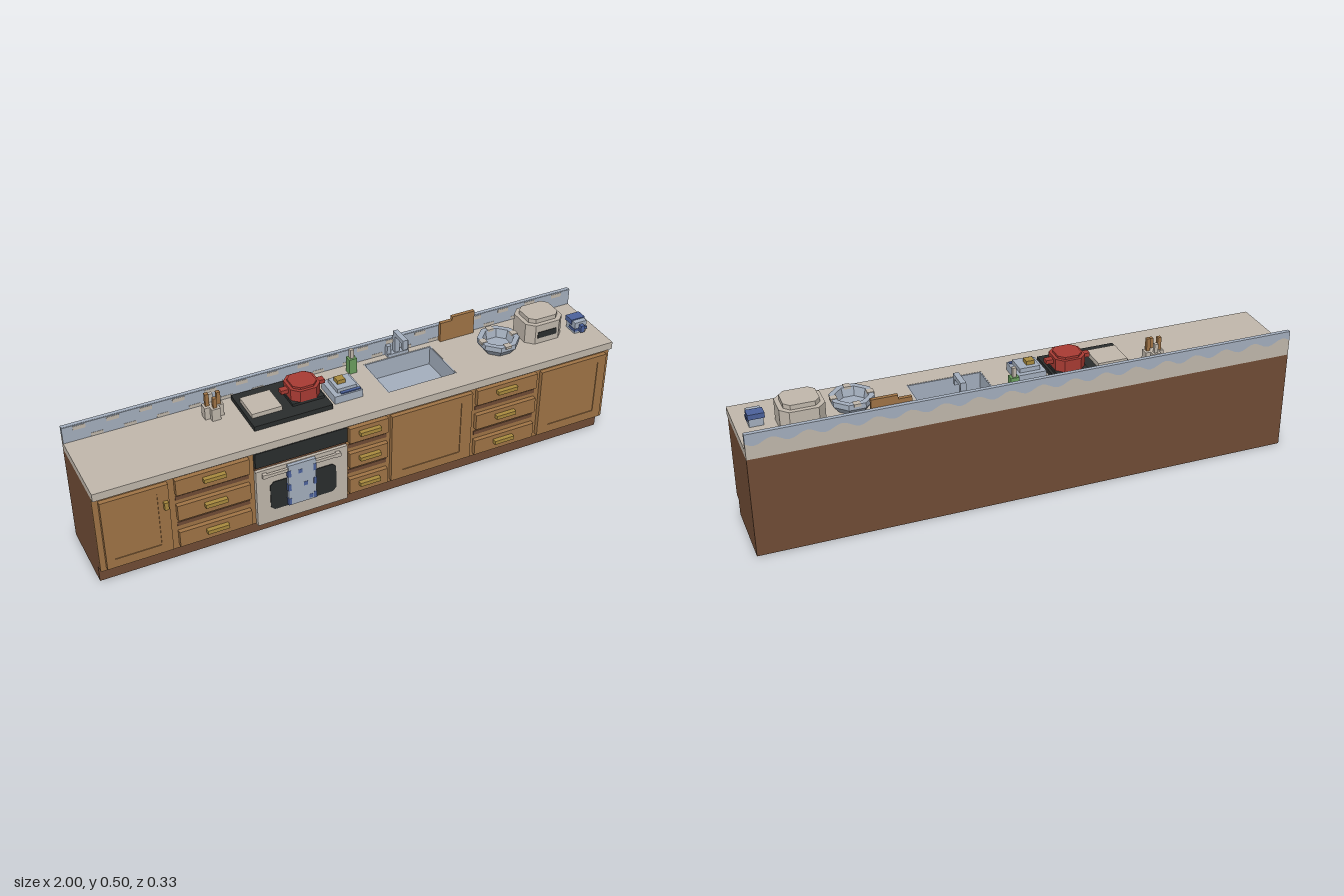
import * as THREE from 'three';

const mat = (name, color) => Object.assign(new THREE.MeshStandardMaterial({ color }), { name });

export function createModel() {
  const root = new THREE.Group();
  root.name = 'kitchenCounter';
  const wood = mat('wood', 0xa07446), brown = mat('dark wood', 0x704c35), cream = mat('cream', 0xc1b8ac),
    blue = mat('pale blue', 0xa4afbe), navy = mat('deep blue', 0x4c629c), black = mat('black', 0x2a2d2d),
    gold = mat('brass', 0xa98a3e), red = mat('red enamel', 0xa83b33), green = mat('green', 0x6b9f5e);

  const add = (name, geo, m, parent = root) => {
    const mesh = new THREE.Mesh(geo, m);
    mesh.name = name;
    parent.add(mesh);
    return mesh;
  };
  // box given by its min and max on each axis
  const box = (name, m, x0, x1, y0, y1, z0, z1) => {
    const g = new THREE.BoxGeometry(x1 - x0, y1 - y0, z1 - z0);
    g.translate((x0 + x1) / 2, (y0 + y1) / 2, (z0 + z1) / 2);
    return add(name, g, m);
  };
  const poly = pts => new THREE.Shape(pts.map(p => new THREE.Vector2(...p)));
  const rect = (a, b, c, d) => poly([[a, c], [b, c], [b, d], [a, d]]);
  const upright = (name, m, shape, z0, z1) => {
    const g = new THREE.ExtrudeGeometry(shape, { depth: z1 - z0, bevelEnabled: false });
    return add(name, g.translate(0, 0, z0), m);
  };
  // plan shape in (x, -z), raised from y0 to y1
  const slab = (name, m, shape, y0, y1) => {
    const g = new THREE.ExtrudeGeometry(shape, { depth: y1 - y0, bevelEnabled: false });
    return add(name, g.rotateX(-Math.PI / 2).translate(0, y0, 0), m);
  };
  // square with cut corners
  const chamfered = (x, z, rx, rz, c) => poly([
    [x - rx + c, -z - rz], [x + rx - c, -z - rz], [x + rx, -z - rz + c], [x + rx, -z + rz - c],
    [x + rx - c, -z + rz], [x - rx + c, -z + rz], [x - rx, -z + rz - c], [x - rx, -z - rz + c]]);

  // cabinet body and worktop, both open above the sink
  const sinkHole = () => rect(0.11, 0.385, -0.07, 0.125);
  const body = rect(-1, 1, -0.125, 0.165), top = rect(-1, 1, -0.15, 0.165);
  body.holes.push(sinkHole());
  top.holes.push(sinkHole());
  box('plinth', brown, -1, 1, 0, 0.065, -0.165, 0.103);
  slab('cabinetBody', brown, body, 0.065, 0.38);
  slab('worktop', cream, top, 0.38, 0.41);
  box('faceFrame', wood, -1, 1, 0.065, 0.38, 0.125, 0.133);

  // sink basin
  box('sinkFloor', blue, 0.11, 0.385, 0.325, 0.335, -0.125, 0.07);
  box('sinkWallLeft', blue, 0.11, 0.114, 0.335, 0.409, -0.125, 0.07);
  box('sinkWallRight', blue, 0.381, 0.385, 0.335, 0.409, -0.125, 0.07);
  box('sinkWallBack', blue, 0.114, 0.381, 0.335, 0.409, -0.125, -0.121);
  box('sinkWallFront', blue, 0.114, 0.381, 0.335, 0.409, 0.066, 0.07);

  // backsplash with a wavy border
  const wave = [];
  for (let i = 0; i <= 136; i++) {
    const x = -1 + i / 68;
    wave.push([x, 0.44 + 0.011 * Math.sin(i * Math.PI / 4)]);
  }
  upright('backsplashLower', cream, poly([[-1, 0.41], [1, 0.41], ...[...wave].reverse()]), -0.165, -0.15);
  upright('backsplashUpper', blue, poly([...wave, [1, 0.475], [-1, 0.475]]), -0.165, -0.15);
  // pale blue front tiles with cream scallops
  box('tileFace', blue, -1, 1, 0.411, 0.474, -0.15, -0.148);
  for (let i = 0; i < 17; i++) {
    const x = -0.94 + i * 0.1175;
    box('scallopUpper', cream, x - 0.022, x + 0.022, 0.455, 0.47, -0.148, -0.147);
    if (i < 16) box('scallopLower', cream, x + 0.037, x + 0.081, 0.413, 0.425, -0.148, -0.147);
  }

  // framed doors: outer span, panel span
  for (const [a, b, c, d] of [[-0.98, -0.745, -0.95, -0.785], [0.085, 0.41, 0.13, 0.365], [0.7, 0.98, 0.745, 0.945]]) {
    const frame = rect(a, b, 0.08, 0.363);
    frame.holes.push(rect(c, d, 0.115, 0.335));
    upright('doorFrame', wood, frame, 0.133, 0.15);
    box('doorPanel', wood, c, d, 0.115, 0.335, 0.133, 0.147);
  }
  box('doorPull', gold, -0.767, -0.752, 0.268, 0.298, 0.15, 0.164);

  // drawer stacks
  for (const [a, b, h] of [[-0.72, -0.455, -0.585], [-0.08, 0.07, -0.005], [0.43, 0.68, 0.548]]) {
    [0.335, 0.227, 0.113].forEach(y => {
      box('drawerFront', wood, a, b, y - 0.033, y + 0.03, 0.133, 0.15);
      box('drawerPull', gold, h - 0.04, h + 0.04, y - 0.002, y + 0.013, 0.15, 0.167);
    });
    [0.281, 0.17].forEach(y => box('drawerGap', brown, a, b, y - 0.008, y + 0.008, 0.133, 0.136));
  }

  // oven with window, rail and towel
  box('ovenFront', cream, -0.435, -0.09, 0.065, 0.3, 0.133, 0.15);
  box('ovenGap', brown, -0.435, -0.09, 0.3, 0.316, 0.133, 0.138);
  box('ovenControls', black, -0.435, -0.09, 0.316, 0.377, 0.133, 0.15);
  const windowShape = chamfered(-0.26, -0.18, 0.125, 0.06, 0.014);
  upright('ovenWindow', black, windowShape, 0.15, 0.153);
  box('ovenRail', cream, -0.415, -0.12, 0.275, 0.287, 0.154, 0.164);
  [-0.405, -0.13].forEach(x => box('railBracket', cream, x - 0.008, x + 0.008, 0.273, 0.289, 0.15, 0.164));
  box('towel', blue, -0.322, -0.218, 0.128, 0.3, 0.153, 0.166);
  [0.265, 0.205, 0.143].forEach((y, i) => {
    [-0.318, -0.222].forEach(x => box('towelStripe', navy, x - 0.006, x + 0.006, y - 0.014, y + 0.014, 0.152, 0.167));
    box('towelSpot', navy, -0.285 + i * 0.02, -0.27 + i * 0.02, y - 0.008, y + 0.008, 0.166, 0.167);
  });

  // hob with griddle and pot
  box('hob', black, -0.4, -0.105, 0.41, 0.428, -0.137, 0.07);
  box('griddle', cream, -0.387, -0.275, 0.428, 0.445, -0.087, 0.022);
  box('potStand', black, -0.235, -0.115, 0.428, 0.438, -0.09, 0.02);
  slab('pot', red, chamfered(-0.175, -0.035, 0.056, 0.056, 0.025), 0.438, 0.482);
  slab('potLid', red, chamfered(-0.175, -0.035, 0.045, 0.045, 0.02), 0.482, 0.49);
  box('potHandles', red, -0.258, -0.092, 0.457, 0.472, -0.047, -0.023);

  // butter dish
  box('dish', blue, -0.088, 0.02, 0.41, 0.44, -0.06, 0.05);
  box('dishCover', blue, -0.07, 0.005, 0.44, 0.456, -0.042, 0.032);
  box('dishKnob', gold, -0.057, -0.026, 0.456, 0.471, -0.025, 0.005);
  box('dishTrim', navy, -0.06, 0.015, 0.44, 0.444, 0.032, 0.044);

  // utensil crock
  for (const [rx, rz] of [[0.035, 0.016], [0.016, 0.035]])
    box('crock', cream, -0.49 - rx, -0.49 + rx, 0.41, 0.457, -0.08 - rz, -0.08 + rz);
  [[-0.51, -0.082, wood, 0.505], [-0.49, -0.1, cream, 0.49], [-0.47, -0.077, wood, 0.505], [-0.49, -0.06, wood, 0.495]]
    .forEach(([x, z, m, y]) => box('utensil', m, x - 0.007, x + 0.007, 0.457, y, z - 0.007, z + 0.007));

  // soap bottle
  box('soapBottle', green, 0.037, 0.068, 0.41, 0.47, -0.12, -0.092);
  box('soapPump', cream, 0.045, 0.059, 0.47, 0.505, -0.114, -0.1);

  // tap
  box('tapBase', blue, 0.21, 0.295, 0.41, 0.422, -0.148, -0.125);
  box('tapRiser', blue, 0.24, 0.26, 0.422, 0.505, -0.148, -0.13);
  box('tapSpout', blue, 0.24, 0.26, 0.489, 0.505, -0.13, -0.07);
  box('tapOutlet', blue, 0.24, 0.26, 0.465, 0.489, -0.085, -0.07);
  [0.217, 0.288].forEach(x => box('tapHandle', blue, x - 0.008, x + 0.008, 0.422, 0.455, -0.146, -0.13));

  // chopping board against the wall
  upright('choppingBoard', wood, poly([[0.43, 0.41], [0.572, 0.41], [0.572, 0.505], [0.478, 0.505], [0.478, 0.49], [0.43, 0.49]]),
    -0.147, -0.133);

  // faceted fruit bowl
  const bowl = [[0, 0], [0.055, 0], [0.078, 0.028], [0.078, 0.048], [0.058, 0.048], [0.05, 0.015], [0, 0.015]]
    .map(p => new THREE.Vector2(...p));
  const bowlGeo = new THREE.LatheGeometry(bowl, 8, Math.PI / 8).toNonIndexed();
  bowlGeo.computeVertexNormals();
  add('bowl', bowlGeo, blue).position.set(0.6, 0.41, -0.005);
  for (let i = 0; i < 4; i++) {
    const a = i * Math.PI / 2, x = 0.6 + 0.064 * Math.cos(a), z = -0.005 + 0.064 * Math.sin(a);
    box('bowlRim', cream, x - 0.012, x + 0.012, 0.45, 0.46, z - 0.012, z + 0.012);
  }

  // bread bin with dark front opening
  slab('binBody', cream, chamfered(0.785, -0.033, 0.078, 0.068, 0.028), 0.41, 0.488);
  slab('binLid', cream, chamfered(0.785, -0.033, 0.062, 0.052, 0.02), 0.488, 0.505);
  box('binOpening', black, 0.745, 0.825, 0.433, 0.458, 0.03, 0.037);

  // mug with handle and painted bands
  box('mug', blue, 0.905, 0.955, 0.41, 0.455, -0.015, 0.04);
  box('mugRim', navy, 0.901, 0.959, 0.44, 0.459, -0.02, 0.02);
  box('mugBand', navy, 0.902, 0.958, 0.42, 0.43, 0.005, 0.043);
  box('mugHandle', navy, 0.922, 0.938, 0.418, 0.446, 0.04, 0.056);
  return root;
}
